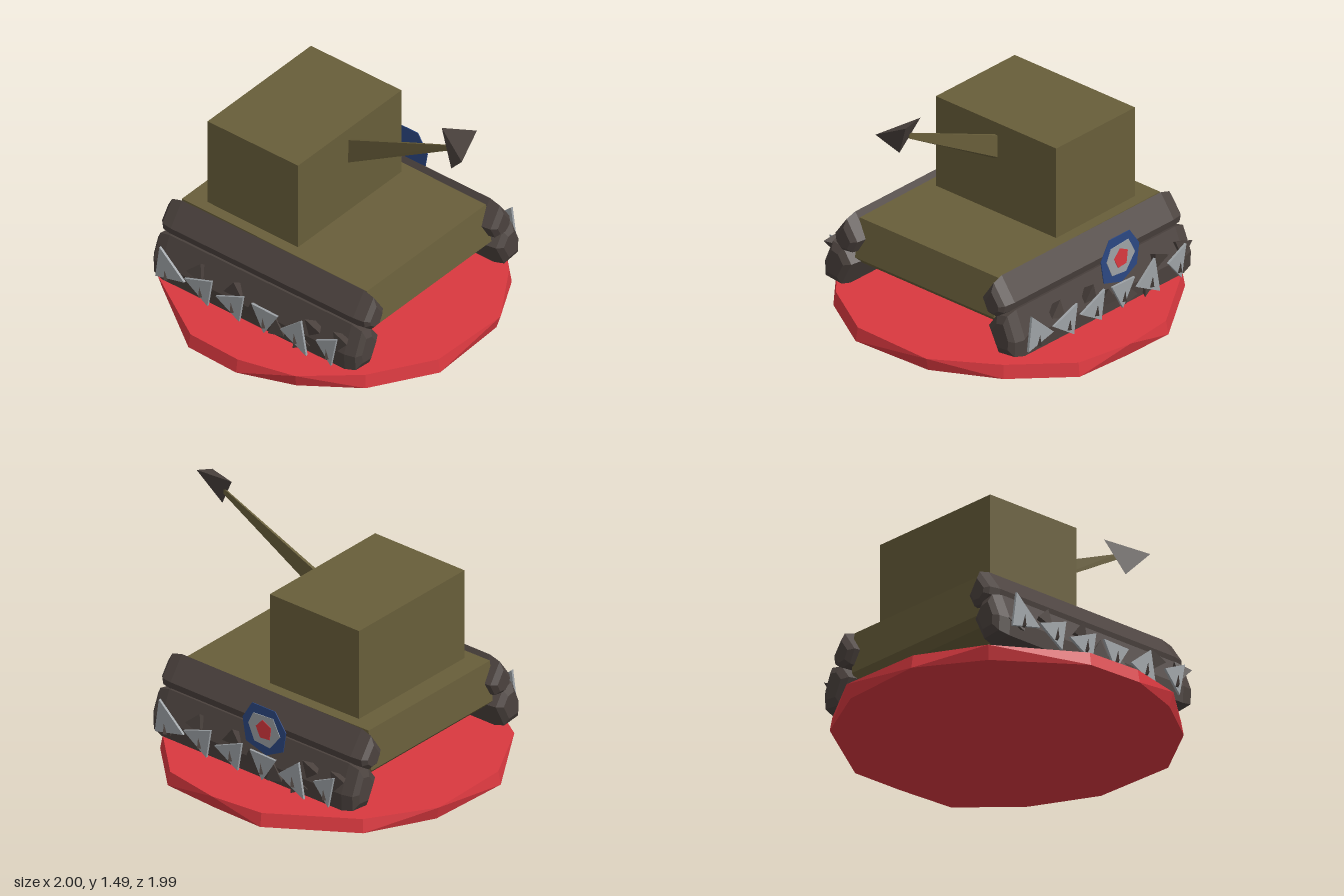
import * as THREE from 'three';
import { ConvexGeometry } from 'three/addons/geometries/ConvexGeometry.js';

const paint = (name, color) => {
  const m = new THREE.MeshStandardMaterial({ color, flatShading: true });
  m.name = name;
  return m;
};

export function createModel() {
  const olive = paint('olive', 0x685e3a);
  const trackBrown = paint('trackBrown', 0x4b423e);
  const red = paint('red', 0xd9383f);
  const grey = paint('grey', 0x9da2a6);
  const blue = paint('blue', 0x2c4883);

  const model = new THREE.Group();
  model.name = 'tank';

  const add = (parent, name, geometry, material) => {
    const mesh = new THREE.Mesh(geometry, material);
    mesh.name = name;
    parent.add(mesh);
    return mesh;
  };
  const hull = (points) => new ConvexGeometry(points.map((p) => new THREE.Vector3(...p)));

  // Side outline given as [z, y], extruded along +x from a start x
  const plate = (outline, x, depth) => {
    const shape = new THREE.Shape(outline.map(([z, y]) => new THREE.Vector2(-z, y)));
    const g = new THREE.ExtrudeGeometry(shape, { depth, bevelEnabled: false });
    return g.rotateY(Math.PI / 2).translate(x, 0, 0);
  };

  // Faceted round base
  const rim = [
    [0.27, -1], [0.66, -0.77], [0.98, -0.28], [1, 0.06], [0.95, 0.43], [0.65, 0.74], [0.27, 0.97],
    [-0.27, 0.97], [-0.65, 0.74], [-0.9, 0.43], [-1, 0.08], [-0.985, -0.28], [-0.66, -0.77], [-0.27, -1],
  ];
  const basePoints = [];
  rim.forEach(([x, z], i) => {
    const top = i % 3 === 0 ? 1 : 0.985;
    const bottom = i % 3 === 0 ? 0.975 : 1;
    basePoints.push([x * top, 0.083, z * top], [x * bottom, 0, z * bottom]);
  });
  add(model, 'base', hull(basePoints), red);

  // Body and turret
  const bodyProfile = [
    [-0.7, 0.583], [0.65, 0.57], [0.69, 0.33], [0.64, 0.28], [-0.67, 0.28], [-0.72, 0.33],
  ];
  add(model, 'body', plate(bodyProfile, -0.53, 1.06), olive);
  const turret = add(model, 'turret', new THREE.BoxGeometry(0.92, 0.59, 0.66), olive);
  turret.position.set(0, 0.855, -0.24);

  // Thin tapering barrel with a pyramid tip
  add(model, 'barrel', hull([
    [-0.015, 0.915, 0.09], [0.01, 0.93, 0.09], [-0.01, 1.07, 0.09], [0.01, 1.07, 0.09],
    [-0.004, 1.34, 0.82], [0.004, 1.34, 0.82], [-0.004, 1.375, 0.82], [0.004, 1.375, 0.82],
  ]), olive);
  add(model, 'barrelTip', hull([
    [-0.1, 1.395, 0.99], [0.09, 1.485, 0.945], [0.02, 1.45, 0.745], [-0.035, 1.25, 0.86],
  ]), trackBrown);

  // Track bars: [x, y] section run along z with rounded ends
  const bar = (section) => {
    const cx = section.reduce((s, p) => s + p[0], 0) / section.length;
    const cy = section.reduce((s, p) => s + p[1], 0) / section.length;
    const points = [];
    for (const [z, k] of [[0.665, 1], [0.735, 0.87], [0.76, 0.55]]) {
      for (const side of [-1, 1]) {
        for (const [x, y] of section) points.push([cx + (x - cx) * k, cy + (y - cy) * k, side * z - 0.01]);
      }
    }
    return hull(points);
  };
  const upperSection = [[0.56, 0.6], [0.66, 0.46], [0.65, 0.41], [0.59, 0.36], [0.51, 0.37], [0.465, 0.46]];
  const lowerSection = [[0.595, 0.13], [0.735, 0.145], [0.74, 0.25], [0.67, 0.42], [0.58, 0.4], [0.51, 0.3]];

  // Teeth as [z, y] triangles
  const teeth = [
    [[0.64, 0.405], [0.46, 0.24], [0.67, 0.19]],
    [[0.46, 0.27], [0.26, 0.34], [0.29, 0.155]],
    [[0.23, 0.255], [0.03, 0.34], [0.06, 0.155]],
    [[-0.03, 0.325], [-0.22, 0.32], [-0.12, 0.16]],
    [[-0.24, 0.245], [-0.39, 0.37], [-0.43, 0.145]],
    [[-0.5, 0.29], [-0.65, 0.36], [-0.61, 0.16]],
  ];
  const shards = [
    [0.6, 0.25], [0.39, 0.33], [0.12, 0.33], [-0.02, 0.25], [-0.19, 0.21], [-0.36, 0.2], [-0.45, 0.33], [-0.65, 0.33],
  ];

  const makeTrack = (name) => {
    const track = new THREE.Group();
    track.name = name;
    add(track, 'upperTrackBar', bar(upperSection), trackBrown);
    add(track, 'lowerTrackBar', bar(lowerSection), trackBrown);
    for (const tri of teeth) {
      add(track, 'tooth', plate(tri, 0.765, 0.015), grey);
      const z = (tri[0][0] + tri[1][0] + tri[2][0]) / 3;
      add(track, 'toothSpike', hull([
        [0.78, 0.2, z - 0.01], [0.78, 0.2, z + 0.01], [0.805, 0.21, z], [0.795, 0.275, z],
      ]), trackBrown);
    }
    // Pointed shards between the teeth and the track
    shards.forEach(([z, y], i) => {
      const a = i * 1.9;
      const ring = [0, 1, 2].map((k) => {
        const t = a + (k * Math.PI * 2) / 3;
        return [0.765 - (k === 0 ? 0.02 : 0), y + 0.07 * Math.sin(t), z + 0.07 * Math.cos(t)];
      });
      add(track, 'shard', hull([...ring, [0.66, y, z]]), trackBrown);
    });
    model.add(track);
    return track;
  };
  makeTrack('leftTrack');
  const rightTrack = makeTrack('rightTrack');
  rightTrack.rotation.y = Math.PI;
  rightTrack.position.z = -0.02;

  // Three-colour badge on the left side
  const badge = new THREE.Group();
  badge.name = 'badge';
  model.add(badge);
  add(badge, 'badgeOuter', plate([
    [-0.03, 0.62], [-0.2, 0.62], [-0.28, 0.51], [-0.26, 0.38], [-0.135, 0.315], [0.015, 0.36], [0.04, 0.505],
  ], 0.752, 0.005), blue);
  add(badge, 'badgeMiddle', plate([
    [-0.04, 0.56], [-0.187, 0.57], [-0.24, 0.47], [-0.165, 0.373], [-0.05, 0.384], [-0.005, 0.485],
  ], 0.757, 0.004), grey);
  add(badge, 'badgeCentre', plate([
    [-0.112, 0.539], [-0.176, 0.507], [-0.165, 0.427], [-0.096, 0.421], [-0.064, 0.485],
  ], 0.761, 0.004), red);

  return model;
}
